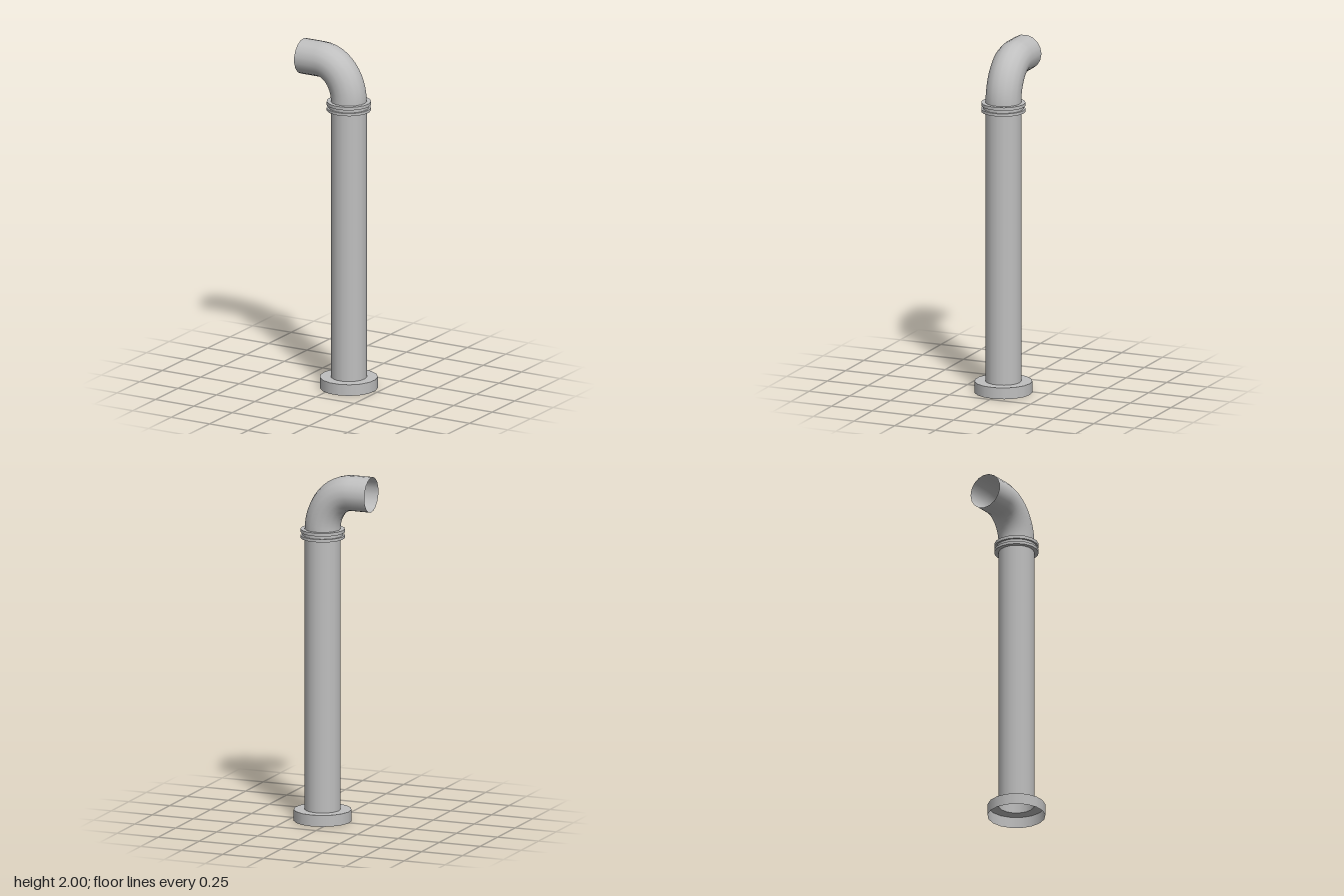
import * as THREE from 'three';
import { mergeGeometries } from 'three/addons/utils/BufferGeometryUtils.js';
import { ParametricGeometry } from 'three/addons/geometries/ParametricGeometry.js';

const SIDES = 17;
const AXIS_X = 0.067; // centre line of the upright
const PIPE_R = 0.101;

// Turned part with a hard edge at every profile point, profile runs bottom to top
function turned(profile) {
  const bands = [];
  for (let i = 0; i < profile.length - 1; i++) {
    const pts = [profile[i], profile[i + 1]].map(([r, y]) => new THREE.Vector2(r, y));
    bands.push(new THREE.LatheGeometry(pts, SIDES, Math.PI));
  }
  return mergeGeometries(bands).translate(AXIS_X, 0, 0);
}

// Curved elbow followed by a straight horizontal outlet
function elbowGeometry() {
  const bend = 12, startX = -0.113, endX = -0.23, a = 0.18, b = 0.22, y0 = 1.68;
  return new ParametricGeometry((u, v, target) => {
    const step = u * (bend + 1);
    const th = Math.min(step / bend, 1) * Math.PI / 2;
    const run = Math.max(step - bend, 0) * (endX - startX);
    const n = new THREE.Vector2(b * Math.cos(th), a * Math.sin(th)).normalize();
    const ang = -Math.PI / 2 + v * Math.PI * 2;
    const c = PIPE_R * Math.cos(ang);
    target.set(
      startX + a * Math.cos(th) + run + n.x * c,
      y0 + b * Math.sin(th) + n.y * c,
      PIPE_R * Math.sin(ang)
    );
  }, bend + 1, SIDES);
}

export function createModel() {
  const group = new THREE.Group();
  const grey = new THREE.MeshStandardMaterial({ color: 0xbfbfbf, side: THREE.DoubleSide });
  grey.name = 'grey metal';

  const add = (name, geometry) => {
    const mesh = new THREE.Mesh(geometry, grey);
    mesh.name = name;
    group.add(mesh);
  };

  // Base flange, open underneath
  add('baseFlange', turned([[0.163, 0], [0.163, 0.065], [PIPE_R, 0.065]]));

  // Hollow upright
  add('uprightPipe', turned([[PIPE_R, 0.065], [PIPE_R, 1.68]]));

  // Double-ringed collar with a groove
  add('collar', turned([
    [PIPE_R, 1.628], [0.125, 1.628], [0.125, 1.644], [0.114, 1.644],
    [0.114, 1.662], [0.125, 1.662], [0.125, 1.68], [PIPE_R, 1.68],
  ]));

  // Bent outlet
  add('elbowOutlet', elbowGeometry());

  return group;
}
